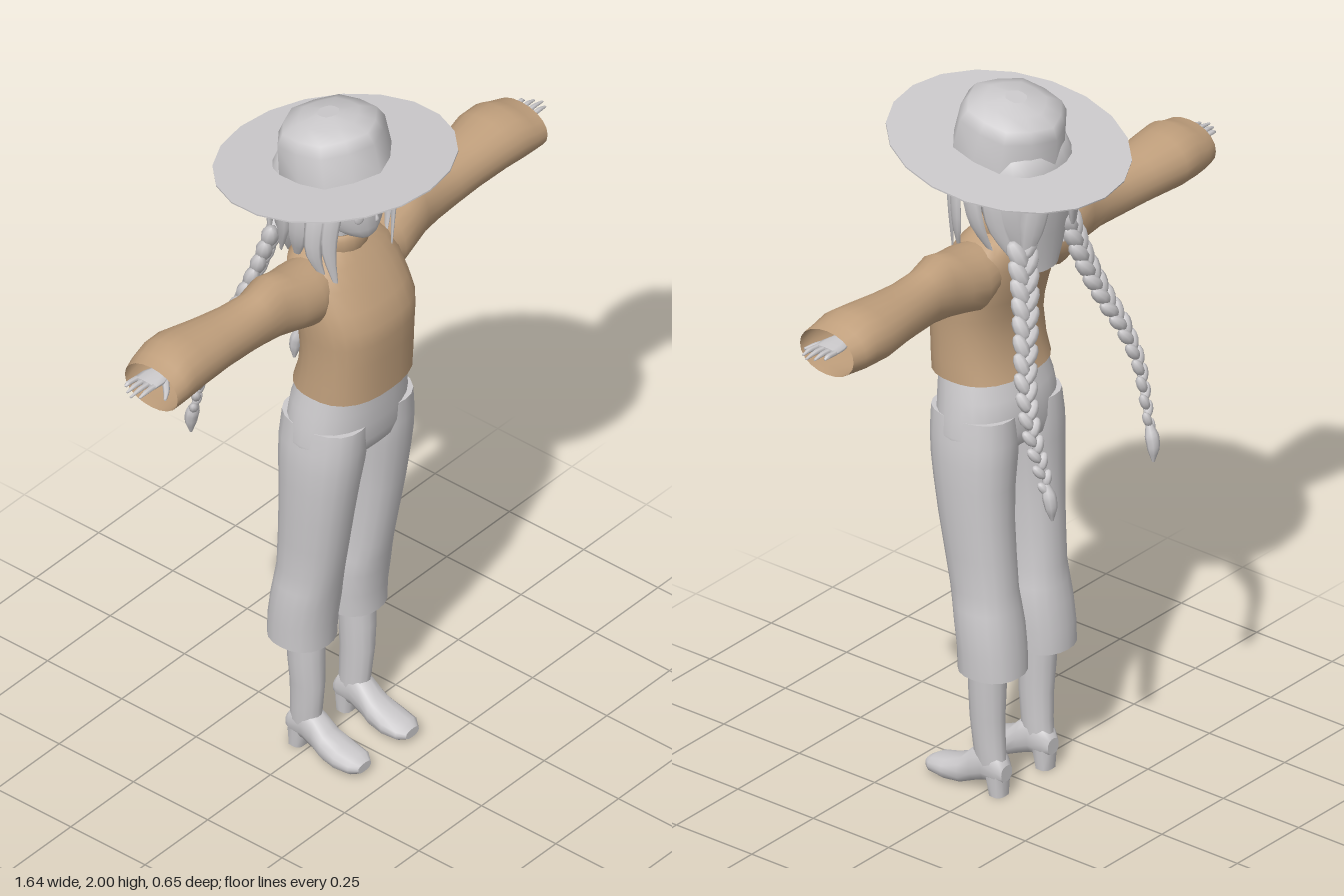
import * as THREE from 'three';

const grey = new THREE.MeshStandardMaterial({ color: 0xcccacc, side: THREE.DoubleSide });
grey.name = 'pale grey';
const tan = new THREE.MeshStandardMaterial({ color: 0xc1a07d, side: THREE.DoubleSide });
tan.name = 'tan knit';

const V = (x, y, z) => new THREE.Vector3(x, y, z);
const superRound = p => a => (Math.abs(Math.cos(a)) ** p + Math.abs(Math.sin(a)) ** p) ** (-1 / p);

// Skins closed rings of points, turning every face outward.
function skin(rings, capStart = true, capEnd = true) {
  const n = rings[0].length, pts = rings.flat(), idx = [];
  for (let j = 0; j < rings.length - 1; j++)
    for (let i = 0; i < n; i++) {
      const a = j * n + i, b = j * n + (i + 1) % n;
      idx.push(a, b, b + n, a, b + n, a + n);
    }
  const mean = list => list.reduce((s, p) => s.add(p), V(0, 0, 0)).divideScalar(list.length);
  const cap = (ring, flip) => {
    const c = pts.push(mean(ring)) - 1;
    ring.forEach(p => pts.push(p.clone()));
    for (let i = 0; i < n; i++) {
      const a = c + 1 + i, b = c + 1 + (i + 1) % n;
      idx.push(...(flip ? [c, b, a] : [c, a, b]));
    }
  };
  if (capStart) cap(rings[0], true);
  if (capEnd) cap(rings[rings.length - 1], false);
  const mid = mean(rings.flat());
  let volume = 0;
  for (let k = 0; k < idx.length; k += 3) {
    const [a, b, c] = [0, 1, 2].map(o => pts[idx[k + o]].clone().sub(mid));
    volume += a.dot(b.cross(c));
  }
  if (volume < 0) idx.reverse();
  const g = new THREE.BufferGeometry().setFromPoints(pts);
  g.setIndex(idx);
  g.computeVertexNormals();
  return g;
}

// Sections are [position, aMin, aMax, bMin, bMax]; axis y uses x,z; x uses y,z; z uses x,y.
function loft(axis, sections, { n = 20, shape = superRound(2.3), open = [false, false] } = {}) {
  const rings = sections.map(([t, a0, a1, b0, b1]) => Array.from({ length: n }, (_, i) => {
    const w = i / n * Math.PI * 2, r = shape(w, i);
    const a = (a0 + a1) / 2 + (a1 - a0) / 2 * r * Math.cos(w);
    const b = (b0 + b1) / 2 + (b1 - b0) / 2 * r * Math.sin(w);
    return axis === 'y' ? V(a, t, b) : axis === 'x' ? V(t, a, b) : V(a, b, t);
  }));
  return skin(rings, !open[0], !open[1]);
}
const symmetric = list => list.map(([y, x, z0, z1]) => [y, -x, x, z0, z1]);

// Flattened strand along a curve; widths are spread evenly from start to end.
function strand(points, widths, thickness, out, n = 8) {
  const curve = new THREE.CatmullRomCurve3(points.map(p => V(...p)));
  const steps = 10, rings = [];
  for (let j = 0; j <= steps; j++) {
    const u = j / steps, c = curve.getPoint(u), t = curve.getTangent(u);
    const side = t.clone().cross(V(...out)).normalize(), up = side.clone().cross(t);
    const f = u * (widths.length - 1), k = Math.min(Math.floor(f), widths.length - 2);
    const w = THREE.MathUtils.lerp(widths[k], widths[k + 1], f - k) / 2;
    rings.push(Array.from({ length: n }, (_, i) => {
      const a = i / n * Math.PI * 2;
      return c.clone().addScaledVector(side, w * Math.cos(a)).addScaledVector(up, w * thickness * Math.sin(a));
    }));
  }
  return skin(rings);
}

function mirrored(g) {
  const m = g.clone().scale(-1, 1, 1);
  m.setIndex([...g.index.array].reverse());
  m.computeVertexNormals();
  return m;
}

export function createModel() {
  const model = new THREE.Group();
  model.name = 'girl in hat and sweater';
  const add = (name, g, mat = grey, parent = model) => {
    const mesh = new THREE.Mesh(g, mat);
    mesh.name = name;
    parent.add(mesh);
    return mesh;
  };
  const pair = (name, g, mat) => {
    add('left ' + name, g, mat);
    add('right ' + name, mirrored(g), mat);
  };

  // Hat, tipped up at the front
  const hat = new THREE.Group();
  hat.name = 'hat';
  hat.position.set(0, 1.852, 0.008);
  hat.rotation.x = -0.17;
  model.add(hat);
  const brim = new THREE.CylinderGeometry(0.318, 0.318, 0.004, 20);
  brim.scale(0.985, 1, 1.02);
  add('brim', brim, grey, hat);
  add('crown', loft('y', [[0, 0.155], [0.085, 0.148], [0.115, 0.13], [0.133, 0.085], [0.143, 0.03]]
    .map(([y, r]) => [y, -r, r, -r, r]), { n: 12, shape: (a, i) => i % 2 ? 1 : 0.935 }), grey, hat);

  // Head, neck and face
  add('head', loft('y', symmetric([[1.66, 0.025, 0.075, 0.125], [1.675, 0.05, 0.03, 0.136],
    [1.70, 0.078, -0.03, 0.143], [1.74, 0.1, -0.08, 0.146], [1.79, 0.11, -0.1, 0.145],
    [1.85, 0.11, -0.1, 0.135], [1.91, 0.07, -0.06, 0.09]]), { shape: superRound(2) }));
  add('neck', loft('y', symmetric([[1.58, 0.045, -0.04, 0.05], [1.71, 0.045, -0.04, 0.06]])));
  add('nose', strand([[0, 1.745, 0.143], [0, 1.725, 0.149], [0, 1.718, 0.142]], [0.004, 0.014, 0.004], 0.6, [0, 0, 1]));
  pair('eyelash', strand([[0.025, 1.757, 0.142], [0.05, 1.77, 0.135], [0.08, 1.755, 0.114]], [0.004, 0.011, 0.003], 0.5, [0, 0, 1]));
  const eye = new THREE.SphereGeometry(1, 12, 8).scale(0.014, 0.018, 0.005);
  pair('eye', eye.rotateY(0.4).translate(0.052, 1.748, 0.132));

  // Hair: back mass, fringe and side locks
  add('back hair', loft('y', symmetric([[1.53, 0.05, -0.13, -0.08], [1.58, 0.085, -0.135, -0.03], [1.64, 0.115, -0.142, 0.01],
    [1.7, 0.135, -0.15, 0.045], [1.76, 0.145, -0.154, 0.065], [1.82, 0.145, -0.152, 0.08],
    [1.87, 0.13, -0.135, 0.09], [1.92, 0.08, -0.08, 0.07]])));
  for (let i = -3; i <= 3; i++) {
    const x = i * 0.029, z = 0.156 - 3.2 * x * x;
    add('fringe lock', strand([[x * 0.8, 1.9, z - 0.045], [x, 1.85, z - 0.004], [x * 1.05, 1.785 - 0.004 * (i % 2), z]],
      [0.03, 0.037, 0.034, 0.014], 0.35, [x * 6, 0, 1]));
  }
  const sideLocks = [
    [[[0.09, 1.89, 0.1], [0.122, 1.8, 0.105], [0.13, 1.68, 0.095], [0.108, 1.54, 0.105]], 0.05],
    [[[0.11, 1.88, 0.06], [0.145, 1.78, 0.065], [0.15, 1.66, 0.06], [0.12, 1.56, 0.075]], 0.055],
    [[[0.11, 1.88, 0.02], [0.146, 1.78, 0.015], [0.143, 1.68, 0.0], [0.11, 1.58, -0.03]], 0.07],
    [[[0.1, 1.88, -0.03], [0.138, 1.78, -0.05], [0.13, 1.68, -0.06], [0.09, 1.56, -0.1]], 0.07],
    [[[0.05, 1.88, -0.1], [0.07, 1.78, -0.142], [0.085, 1.68, -0.138], [0.1, 1.57, -0.12]], 0.085],
  ];
  for (const [path, w] of sideLocks)
    pair('side lock', strand(path, [w * 0.6, w, w * 0.85, w * 0.15], 0.35, [path[1][0], 0, path[1][2]]));

  // Braids: alternating plump lobes along a curve, ending in a tuft
  const braid = new THREE.CatmullRomCurve3([V(0.095, 1.63, -0.115), V(0.125, 1.5, -0.148), V(0.16, 1.4, -0.178),
    V(0.2, 1.3, -0.212), V(0.22, 1.2, -0.243), V(0.216, 1.1, -0.27), V(0.21, 1.03, -0.288)]);
  const lobes = 28;
  for (let i = 0; i < lobes; i++) {
    const u = i / (lobes - 1), s = i % 2 ? 1 : -1, size = THREE.MathUtils.lerp(0.034, 0.017, u);
    const t = braid.getPointAt(u), dir = braid.getTangentAt(u);
    const side = dir.clone().cross(V(0.35, 0, -1)).normalize();
    const tilt = dir.clone().addScaledVector(side, -s * 0.55).normalize();
    const lobe = new THREE.SphereGeometry(1, 8, 6).scale(size * 0.72, size * 1.35, size * 0.75);
    lobe.applyQuaternion(new THREE.Quaternion().setFromUnitVectors(V(0, 1, 0), tilt));
    const c = t.addScaledVector(side, s * size * 0.5);
    pair('braid lobe', lobe.translate(c.x, c.y, c.z));
  }
  pair('braid tuft', strand([[0.21, 1.04, -0.286], [0.209, 0.99, -0.3], [0.206, 0.937, -0.304]],
    [0.02, 0.042, 0.036, 0.008], 0.85, [0, 0, 1]));

  // Sweater
  add('sweater body', loft('y', symmetric([[1.2, 0.165, -0.062, 0.195], [1.25, 0.163, -0.046, 0.197],
    [1.32, 0.161, -0.037, 0.2], [1.38, 0.164, -0.043, 0.203], [1.43, 0.168, -0.055, 0.2], [1.48, 0.168, -0.07, 0.177],
    [1.54, 0.165, -0.08, 0.142], [1.585, 0.15, -0.08, 0.11], [1.61, 0.11, -0.07, 0.09], [1.622, 0.075, -0.06, 0.08]]),
    { n: 28, shape: superRound(2.5), open: [true, false] }), tan);
  add('sweater collar', loft('y', symmetric([[1.59, 0.075, -0.06, 0.085], [1.615, 0.086, -0.068, 0.097],
    [1.645, 0.085, -0.064, 0.097], [1.66, 0.077, -0.056, 0.09], [1.655, 0.068, -0.05, 0.08], [1.62, 0.06, -0.045, 0.07]]),
    { open: [true, true], shape: superRound(2) }), tan);
  pair('sleeve', loft('x', [[0.09, 1.46, 1.6, -0.055, 0.095], [0.16, 1.425, 1.607, -0.066, 0.112],
    [0.22, 1.44, 1.615, -0.057, 0.1], [0.28, 1.452, 1.633, -0.05, 0.088], [0.34, 1.46, 1.612, -0.045, 0.081],
    [0.42, 1.467, 1.609, -0.06, 0.082], [0.5, 1.473, 1.616, -0.076, 0.086], [0.6, 1.476, 1.628, -0.098, 0.095],
    [0.66, 1.475, 1.632, -0.095, 0.1], [0.7, 1.48, 1.615, -0.09, 0.102], [0.738, 1.48, 1.607, -0.078, 0.1]],
    { shape: superRound(2.1), open: [true, true] }), tan);

  // Hands
  pair('forearm', loft('x', [[0.55, 1.53, 1.58, -0.025, 0.035], [0.69, 1.545, 1.575, -0.02, 0.03]], { n: 10 }));
  pair('palm', loft('x', [[0.68, 1.548, 1.574, -0.02, 0.03], [0.72, 1.55, 1.573, -0.034, 0.04],
    [0.755, 1.553, 1.57, -0.035, 0.038]], { n: 10 }));
  [0.795, 0.812, 0.822, 0.81].forEach((tip, i) => {
    const z = -0.027 + i * 0.019;
    pair('finger', strand([[0.75, 1.562, z], [0.785, 1.564, z * 1.05], [tip, 1.56, z * 1.05]], [0.016, 0.015, 0.007], 0.85, [0, 1, 0], 6));
  });
  pair('thumb', strand([[0.7, 1.556, 0.025], [0.73, 1.548, 0.055], [0.755, 1.542, 0.072]], [0.022, 0.017, 0.008], 0.8, [0, 1, 0], 6));

  // Trousers
  add('trouser hips', loft('y', symmetric([[0.985, 0.14, -0.035, 0.11], [1.01, 0.187, -0.066, 0.155], [1.05, 0.186, -0.074, 0.168],
    [1.1, 0.18, -0.074, 0.171], [1.15, 0.171, -0.068, 0.174], [1.23, 0.154, -0.04, 0.175]]), { n: 28 }));
  pair('trouser leg', loft('y', [[0.365, 0.015, 0.185, -0.108, 0.068], [0.43, 0.011, 0.187, -0.105, 0.07],
    [0.5, 0.009, 0.187, -0.096, 0.08], [0.55, 0.014, 0.182, -0.088, 0.088], [0.6, 0.021, 0.176, -0.081, 0.098],
    [0.7, 0.021, 0.18, -0.075, 0.116], [0.8, 0.019, 0.186, -0.07, 0.133], [0.9, 0.012, 0.19, -0.07, 0.149],
    [0.97, 0.003, 0.191, -0.073, 0.16], [1.03, -0.002, 0.188, -0.074, 0.166], [1.1, 0, 0.178, -0.07, 0.168]],
    { open: [true, false] }));

  // Boots
  pair('boot shaft', loft('y', [[0.06, 0.064, 0.126, -0.058, 0.035], [0.1, 0.062, 0.131, -0.056, 0.036],
    [0.14, 0.061, 0.134, -0.053, 0.04], [0.22, 0.059, 0.14, -0.052, 0.048], [0.3, 0.056, 0.148, -0.056, 0.048],
    [0.42, 0.053, 0.152, -0.06, 0.046]], { n: 14, shape: superRound(2) }));
  pair('boot foot', loft('z', [[-0.062, 0.073, 0.117, 0.045, 0.09], [-0.045, 0.063, 0.127, 0.036, 0.12],
    [0, 0.061, 0.13, 0.033, 0.14], [0.035, 0.058, 0.133, 0.02, 0.122], [0.07, 0.052, 0.139, 0.005, 0.087],
    [0.12, 0.047, 0.144, 0.002, 0.064], [0.165, 0.052, 0.139, 0.006, 0.053], [0.187, 0.07, 0.121, 0.014, 0.04]],
    { n: 14, shape: superRound(2.6) }));
  pair('boot heel', loft('y', [[0, 0.07, 0.12, -0.058, -0.014], [0.06, 0.065, 0.125, -0.061, -0.002]], { n: 12, shape: superRound(4) }));
  return model;
}
